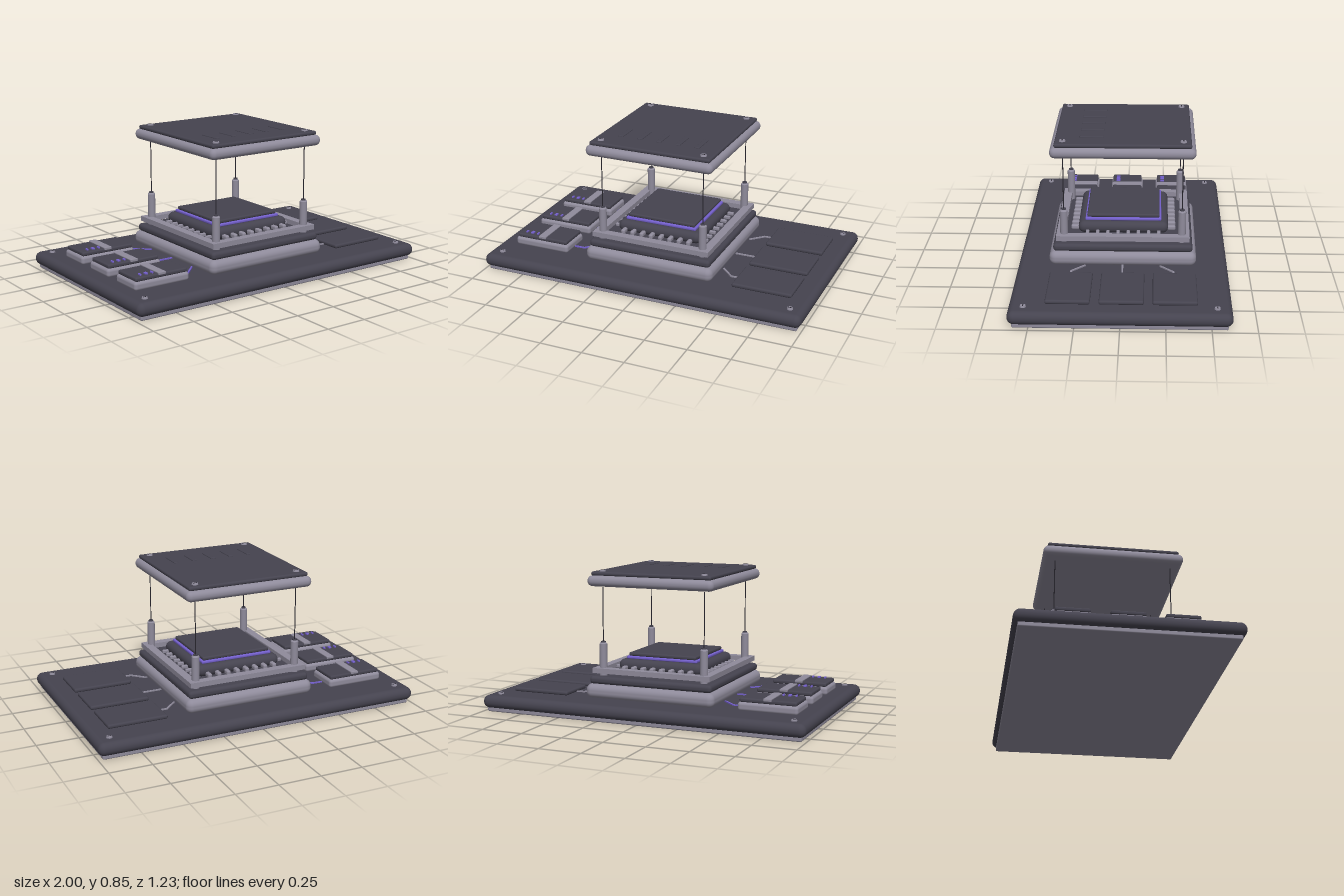
import * as THREE from 'three';
import { RoundedBoxGeometry } from 'three/addons/geometries/RoundedBoxGeometry.js';

const material = (name, color) => Object.assign(new THREE.MeshStandardMaterial({ color }), { name });

export function createModel() {
  const root = new THREE.Group();
  root.name = 'explodedProcessorBoard';
  const dark = material('charcoal', 0x45434f);
  const grey = material('warm grey', 0x8f8b9b);
  const purple = material('violet', 0x7460cc);
  const black = material('near black', 0x28262e);

  const add = (name, geometry, mat, x = 0, y = 0, z = 0, parent = root) => {
    const mesh = new THREE.Mesh(geometry, mat);
    mesh.name = name;
    mesh.position.set(x, y, z);
    parent.add(mesh);
    return mesh;
  };
  // Rounded slab between heights y0 and y1
  const slab = (name, mat, w, d, y0, y1, r, x = 0, z = 0) =>
    add(name, new RoundedBoxGeometry(w, y1 - y0, d, 4, Math.min(r, (y1 - y0) / 2 - 0.0005)), mat, x, (y0 + y1) / 2, z);
  const corners = (x, z, fn) => {
    for (const sx of [-1, 1]) for (const sz of [-1, 1]) fn(sx * x, sz * z);
  };
  // Round screw head with a dark cross slot
  const screw = (name, x, y, z, r) => {
    add(name, new THREE.CylinderGeometry(r * 0.85, r, 0.01, 16), grey, x, y + 0.004, z);
    add(name + 'Slot', new THREE.BoxGeometry(r * 1.2, 0.002, r * 0.3), black, x, y + 0.0095, z);
  };

  // Base board
  slab('basePlate', grey, 1.95, 1.18, 0, 0.03, 0.008);
  slab('baseBoard', dark, 2, 1.23, 0.022, 0.1, 0.038);
  corners(0.915, 0.53, (x, z) => screw('baseScrew', x, 0.1, z, 0.018));

  // Stepped pedestal
  slab('pedestal', grey, 0.81, 0.86, 0.095, 0.182, 0.038);
  slab('pedestalTop', dark, 0.77, 0.815, 0.18, 0.226, 0.02);

  // Open carrier frame
  const ring = new THREE.Shape();
  ring.moveTo(-0.37, -0.39).lineTo(0.37, -0.39).lineTo(0.37, 0.39).lineTo(-0.37, 0.39).closePath();
  const hole = new THREE.Path();
  hole.moveTo(-0.32, -0.34).lineTo(-0.32, 0.34).lineTo(0.32, 0.34).lineTo(0.32, -0.34).closePath();
  ring.holes.push(hole);
  const ringGeometry = new THREE.ExtrudeGeometry(ring, { depth: 0.03, bevelEnabled: false }).rotateX(-Math.PI / 2);
  add('carrierFrame', ringGeometry, grey, 0, 0.243, 0);

  // Chip stack
  slab('chipBody', dark, 0.53, 0.53, 0.243, 0.313, 0.034);
  slab('chipGlow', purple, 0.45, 0.45, 0.312, 0.329, 0.006);
  slab('chipLid', dark, 0.43, 0.43, 0.328, 0.35, 0.009);

  // Contact pins around the chip
  for (const s of [-1, 1]) for (let i = 0; i < 8; i++) {
    const t = (i - 3.5) * 0.06;
    slab('contactPin', grey, 0.026, 0.05, 0.25, 0.279, 0.01, t, s * 0.285);
    slab('sideContactPin', grey, 0.04, 0.02, 0.25, 0.27, 0.005, s * 0.28, t);
  }

  // Corner posts with guide rods
  corners(0.32, 0.345, (x, z) => {
    add('cornerPost', new THREE.CylinderGeometry(0.023, 0.023, 0.19, 16), grey, x, 0.32, z);
    add('postShoulder', new THREE.CylinderGeometry(0.016, 0.023, 0.008, 16), grey, x, 0.419, z);
    add('postTip', new THREE.CylinderGeometry(0.014, 0.014, 0.008, 16), dark, x, 0.426, z);
    add('guideRod', new THREE.CylinderGeometry(0.003, 0.003, 0.325, 8), black, x, 0.5875, z);
  });

  // Raised cover
  slab('coverBody', grey, 0.79, 0.835, 0.758, 0.822, 0.031);
  slab('coverTop', dark, 0.75, 0.785, 0.82, 0.844, 0.011);
  corners(0.32, 0.345, (x, z) => screw('coverScrew', x, 0.843, z, 0.02));
  for (let i = -2; i <= 2; i++) slab('coverVent', dark, 0.03, 0.14, 0.838, 0.85, 0.005, i * 0.12, 0.18);

  // Flat trace: straight lead-out, then a diagonal toward the pedestal
  const trace = (name, mat, points) => {
    for (let i = 1; i < points.length; i++) {
      const [ax, az] = points[i - 1], [bx, bz] = points[i];
      const length = Math.hypot(bx - ax, bz - az);
      const bar = add(name, new THREE.BoxGeometry(length + 0.004, 0.008, 0.01), mat, (ax + bx) / 2, 0.103, (az + bz) / 2);
      bar.rotation.y = -Math.atan2(bz - az, bx - ax);
    }
  };

  for (const row of [-1, 0, 1]) {
    const z = row * 0.296;
    // Memory modules
    slab('moduleBase', grey, 0.355, 0.21, 0.095, 0.147, 0.018, -0.718, z);
    slab('moduleTop', dark, 0.335, 0.192, 0.145, 0.17, 0.01, -0.718, z);
    slab('moduleBand', grey, 0.048, 0.196, 0.16, 0.176, 0.003, -0.716, z);
    [-0.838, -0.8, -0.762].forEach((x, i) =>
      slab('moduleLight', purple, i === 1 ? 0.018 : 0.01, 0.026, 0.165, 0.179, 0.003, x, z + 0.06));
    // Blank pads
    slab('blankPad', dark, 0.36, 0.248, 0.098, 0.123, 0.011, 0.705, z - 0.005);
    // Connecting traces
    const path = s => row === 0
      ? [[s * 0.54, 0], [s * 0.4, 0]]
      : [[s * 0.54, z], [s * 0.48, z], [s * 0.405, row * 0.22]];
    trace('moduleTrace', purple, path(-1));
    trace('padTrace', grey, path(1));
  }
  return root;
}
